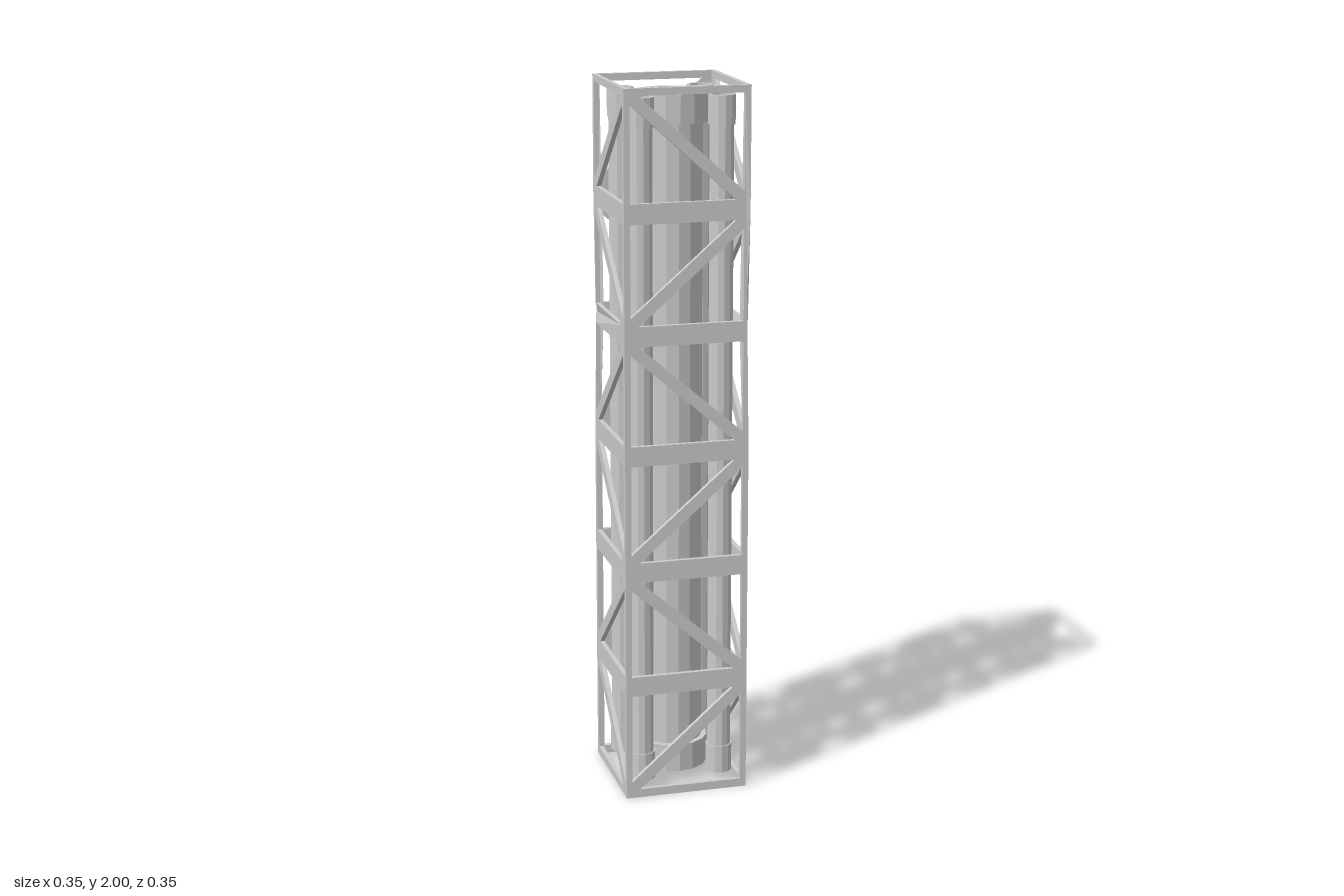
import * as THREE from 'three';

const HALF = 0.175, WALL = 0.013, HEIGHT = 2, BAYS = 6;
const BAY = HEIGHT / BAYS;
const material = new THREE.MeshStandardMaterial({
  color: 0xcccccc, flatShading: true, side: THREE.DoubleSide,
});

const polygon = (Type, pts) => new Type(pts.map(([x, y]) => new THREE.Vector2(x, y)));

// One truss wall facing +z: square bays with alternating diagonals
function trussGeometry(mirror) {
  const outline = [];
  for (let i = 0; i <= BAYS; i++) outline.push([HALF, i * BAY]);
  for (let i = BAYS; i >= 0; i--) outline.push([-HALF, i * BAY]);
  const shape = polygon(THREE.Shape, outline);

  const w = 0.158, gap = 0.023;
  for (let i = 0; i < BAYS; i++) {
    const low = i * BAY + (i === 0 ? 0.024 : 0.028);
    const high = (i + 1) * BAY - (i === BAYS - 1 ? 0.02 : 0.028);
    const s = (i % 2 === 0 ? 1 : -1) * mirror; // lean of the diagonal
    shape.holes.push(
      polygon(THREE.Path, [[-w * s, high], [-w * s, low + gap], [(w - gap) * s, high]]),
      polygon(THREE.Path, [[w * s, low], [w * s, high - gap], [(gap - w) * s, low]]),
    );
  }

  const geo = new THREE.ExtrudeGeometry(shape, { depth: WALL, bevelEnabled: false });
  geo.translate(0, 0, HALF - WALL);
  const p = geo.attributes.position;
  for (let i = 0; i < p.count; i++) {
    // Mitre the upright edges
    let x = p.getX(i), z = p.getZ(i);
    x = THREE.MathUtils.clamp(x, -z, z);
    // Slight pinch of one corner at the fourth level
    if (Math.abs(p.getY(i) - 4 * BAY) < 0.01 && x * mirror > 0.15) {
      x -= 0.009 * mirror;
      z -= 0.009;
    }
    p.setX(i, x);
    p.setZ(i, z);
  }
  geo.computeVertexNormals();
  return geo;
}

// Hollow pipe with a wider collar at both ends
function pipe(name, inner, outer, collar, collarLength, sides) {
  const y0 = 0.035, y1 = HEIGHT - 0.03;
  const profile = [
    [inner, y0], [collar, y0], [collar, y0 + collarLength], [outer, y0 + collarLength],
    [outer, y1 - collarLength], [collar, y1 - collarLength], [collar, y1],
    [inner, y1], [inner, y0],
  ].map(([r, y]) => new THREE.Vector2(r, y));
  const mesh = new THREE.Mesh(new THREE.LatheGeometry(profile, sides), material);
  mesh.name = name;
  return mesh;
}

export function createModel() {
  const model = new THREE.Group();
  model.name = 'latticeTower';

  // Four walls; neighbours mirror each other, opposite walls match
  const frame = new THREE.Group();
  frame.name = 'trussFrame';
  ['frontTruss', 'leftTruss', 'backTruss', 'rightTruss'].forEach((name, i) => {
    const wall = new THREE.Mesh(trussGeometry(i % 2 === 0 ? 1 : -1), material);
    wall.name = name;
    wall.rotation.y = i * Math.PI / 2;
    frame.add(wall);
  });
  model.add(frame);

  // Central main pipe
  model.add(pipe('mainPipe', 0.08, 0.088, 0.104, 0.08, 16));

  // Slim pipes near the four corners
  for (const x of [-1, 1]) {
    for (const z of [-1, 1]) {
      const slim = pipe('cornerPipe', 0.029, 0.034, 0.038, 0.08, 12);
      slim.position.set(x * 0.113, 0, z * 0.108);
      model.add(slim);
    }
  }
  return model;
}
